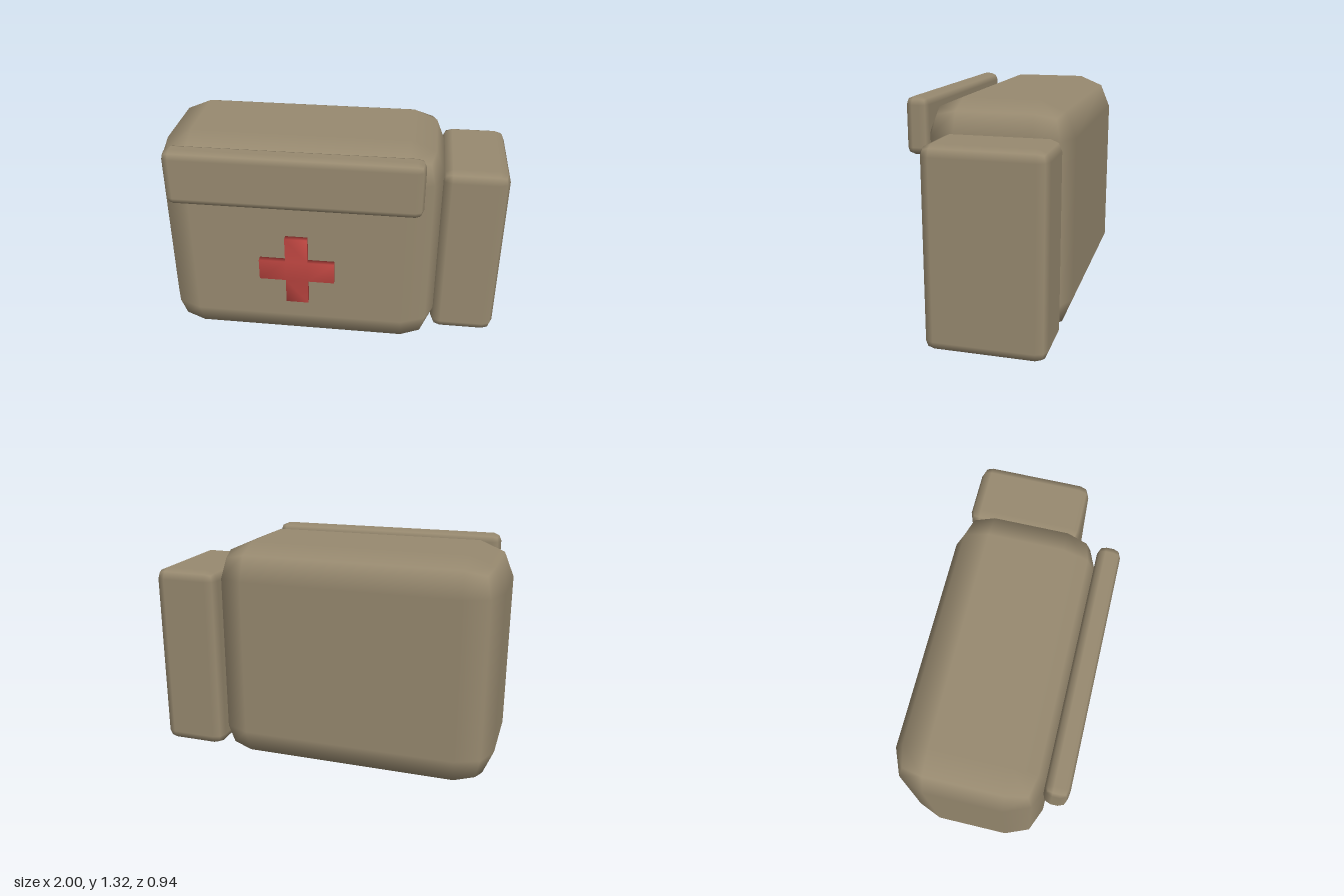
import * as THREE from 'three';
import { RoundedBoxGeometry } from 'three/addons/geometries/RoundedBoxGeometry.js';
import { mergeVertices } from 'three/addons/utils/BufferGeometryUtils.js';

const canvas = new THREE.MeshStandardMaterial({ color: 0x988a70 });
canvas.name = 'khaki canvas';
const red = new THREE.MeshStandardMaterial({ color: 0xbc4540 });
red.name = 'red';

// Softly bevelled block between two corners
function block(name, min, max, radius) {
  const [w, h, d] = max.map((v, i) => v - min[i]);
  const mesh = new THREE.Mesh(new RoundedBoxGeometry(w, h, d, 1, radius), canvas);
  mesh.position.set(min[0] + w / 2, min[1] + h / 2, min[2] + d / 2);
  mesh.name = name;
  return mesh;
}

// Plus-shaped plate with soft shading across its edges
function cross(arm, half, depth) {
  const points = [];
  for (let i = 0; i < 4; i++) {
    const turn = (i * Math.PI) / 2;
    for (const [x, y] of [[arm, -half], [arm, half], [half, half]]) {
      points.push(new THREE.Vector2(x, y).rotateAround(new THREE.Vector2(), turn));
    }
  }
  let geometry = new THREE.ExtrudeGeometry(new THREE.Shape(points), { depth, bevelEnabled: false });
  geometry.deleteAttribute('normal');
  geometry.deleteAttribute('uv');
  geometry = mergeVertices(geometry, 1e-4);
  geometry.computeVertexNormals();
  const mesh = new THREE.Mesh(geometry, red);
  mesh.name = 'cross';
  return mesh;
}

export function createModel() {
  const group = new THREE.Group();
  group.name = 'medical bag';

  // Main bag, front flap and side pocket
  group.add(block('bag', [-1, 0, -0.47], [0.64, 1.315, 0.355], 0.2));
  group.add(block('flap', [-0.89, 0.99, 0.34], [0.53, 1.315, 0.47], 0.045));
  group.add(block('sidePocket', [0.62, 0.06, -0.443], [1, 1.15, 0.215], 0.06));

  // Emblem on the front
  const emblem = cross(0.22, 0.065, 0.035);
  emblem.position.set(-0.18, 0.55, 0.361);
  group.add(emblem);
  return group;
}
